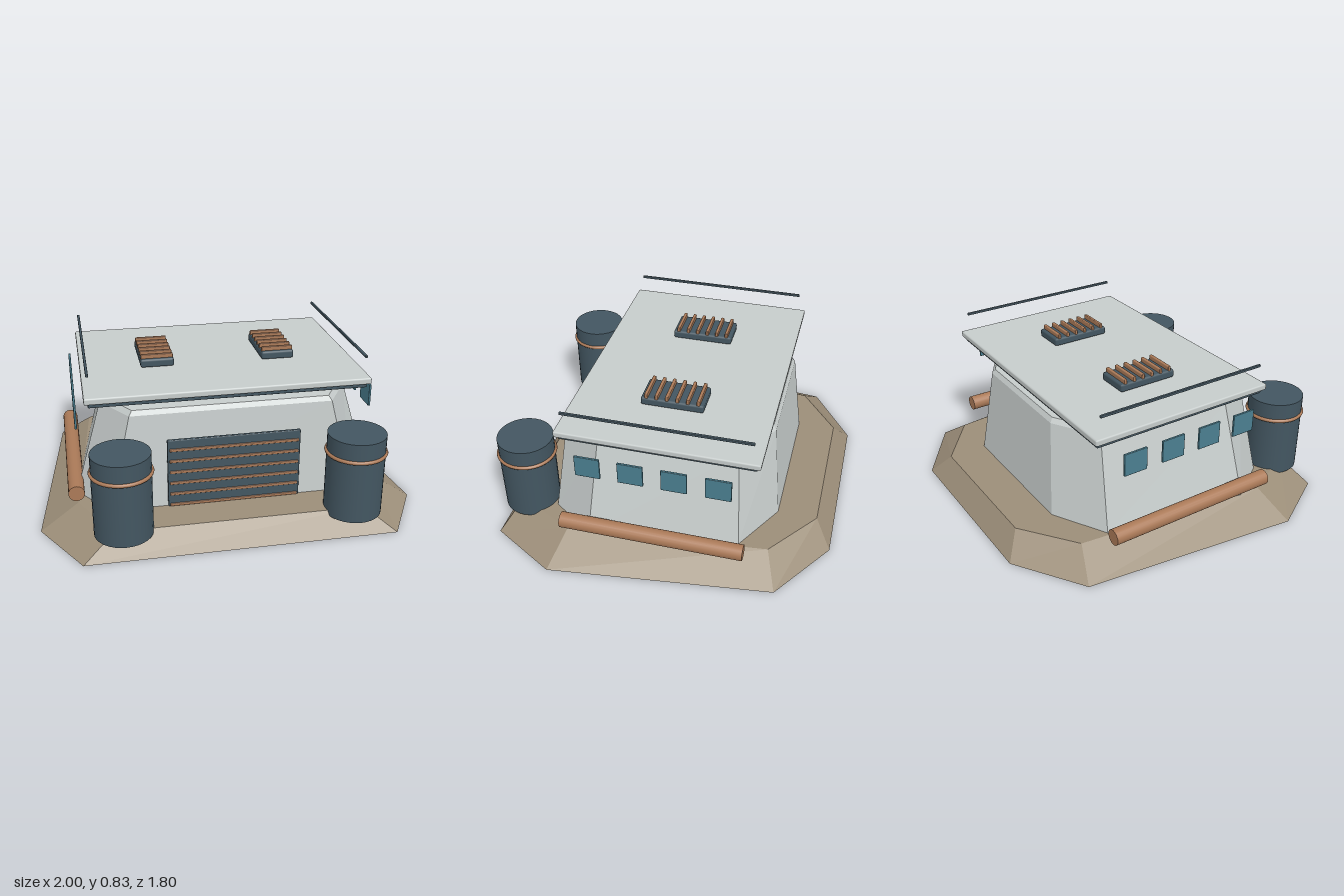
import * as THREE from 'three';
import { RoundedBoxGeometry } from 'three/addons/geometries/RoundedBoxGeometry.js';

const mat = (color, flatShading = false) => new THREE.MeshStandardMaterial({ color, flatShading });
const stone = mat(0x9c8e79, true);
const wall = mat(0xc6cccb, true);
const roofMat = mat(0xc6cccb);
const steel = mat(0x435661);
const copper = mat(0xab7a58);
const glass = mat(0x4b7f90);

// Eight-sided footprint shared by the plinth and the walls
const half = [[0.5, -0.9], [0.86, -0.66], [1, 0.51], [0.8, 0.86]];
const outline = [...half, ...half.map(([x, z]) => [-x, z]).reverse()];

// Closed solid from scaled copies of the footprint; levels are [y, scaleX, scaleZ]
function loft(levels) {
  const rings = levels.map(([y, sx, sz]) => outline.map(([x, z]) => [x * sx, y, z * sz]));
  const n = outline.length;
  const top = rings.length - 1;
  const pos = [];
  const tri = (...points) => points.forEach((p) => pos.push(...p));
  for (let i = 0; i < n; i++) {
    const j = (i + 1) % n;
    for (let k = 0; k < top; k++) {
      tri(rings[k][i], rings[k + 1][i], rings[k][j]);
      tri(rings[k][j], rings[k + 1][i], rings[k + 1][j]);
    }
    tri([0, levels[0][0], 0], rings[0][i], rings[0][j]);
    tri([0, levels[top][0], 0], rings[top][j], rings[top][i]);
  }
  const geometry = new THREE.BufferGeometry();
  geometry.setAttribute('position', new THREE.Float32BufferAttribute(pos, 3));
  geometry.computeVertexNormals();
  return geometry;
}

export function createModel() {
  const model = new THREE.Group();
  model.name = 'bunker';

  const add = (name, geometry, material, x = 0, y = 0, z = 0, parent = model) => {
    const mesh = new THREE.Mesh(geometry, material);
    mesh.name = name;
    mesh.position.set(x, y, z);
    parent.add(mesh);
    return mesh;
  };
  const box = (w, h, d) => new RoundedBoxGeometry(w, h, d, 1, Math.min(w, h, d) * 0.25);
  const group = (name, x, y, z) => {
    const g = new THREE.Group();
    g.name = name;
    g.position.set(x, y, z);
    model.add(g);
    return g;
  };

  // Plinth and sloping walls
  add('plinth', loft([[0, 1, 1], [0.12, 0.8, 0.9]]), stone);
  add('walls', loft([[0.12, 0.8, 0.667], [0.615, 0.655, 0.607], [0.64, 0.635, 0.59]]), wall);

  // Overhanging roof with a dark soffit
  add('roofSlab', box(1.48, 0.035, 1.045), roofMat, 0, 0.7, -0.015);
  add('soffit', box(1.44, 0.025, 1.01), steel, 0, 0.672, -0.015);

  // Front shutter
  const shutter = group('shutter', 0, 0, 0.575);
  add('shutterPanel', box(0.69, 0.375, 0.02), steel, 0, 0.307, 0, shutter);
  for (let i = 0; i < 6; i++) {
    add('shutterSlat', box(0.67, 0.016, 0.02), copper, 0, 0.13 + i * 0.062, 0.006, shutter);
  }

  for (const side of [-1, 1]) {
    const label = side > 0 ? 'left' : 'right';

    // Roof rail
    add(label + 'RoofRail', box(0.014, 0.014, 0.97), steel, side * 0.715, 0.823, -0.015);

    // Roof vent with fins
    const vent = group(label + 'Vent', side * 0.33, 0, -0.017);
    add('ventBase', box(0.18, 0.045, 0.333), steel, 0, 0.742, 0, vent);
    for (let i = 0; i < 6; i++) {
      add('ventFin', box(0.172, 0.03, 0.018), copper, 0, 0.772, (i - 2.5) * 0.055, vent);
    }

    // Side windows
    for (let i = 0; i < 4; i++) {
      add(label + 'Window', box(0.012, 0.122, 0.132), glass, side * 0.784, 0.565, 0.32 - i * 0.222);
    }

    // Side pipe
    const pipe = add(label + 'Pipe', new THREE.CylinderGeometry(0.042, 0.042, 0.97, 20), copper, side * 0.805, 0.187, 0);
    pipe.rotation.x = Math.PI / 2;

    // Front tank with a copper band
    const tank = group(label + 'Tank', side * 0.589, 0, 0.737);
    add('tankBody', new THREE.CylinderGeometry(0.148, 0.148, 0.435, 32), steel, 0, 0.313, 0, tank);
    const band = add('tankBand', new THREE.TorusGeometry(0.149, 0.01, 8, 40), copper, 0, 0.433, 0, tank);
    band.rotation.x = Math.PI / 2;
  }
  return model;
}
